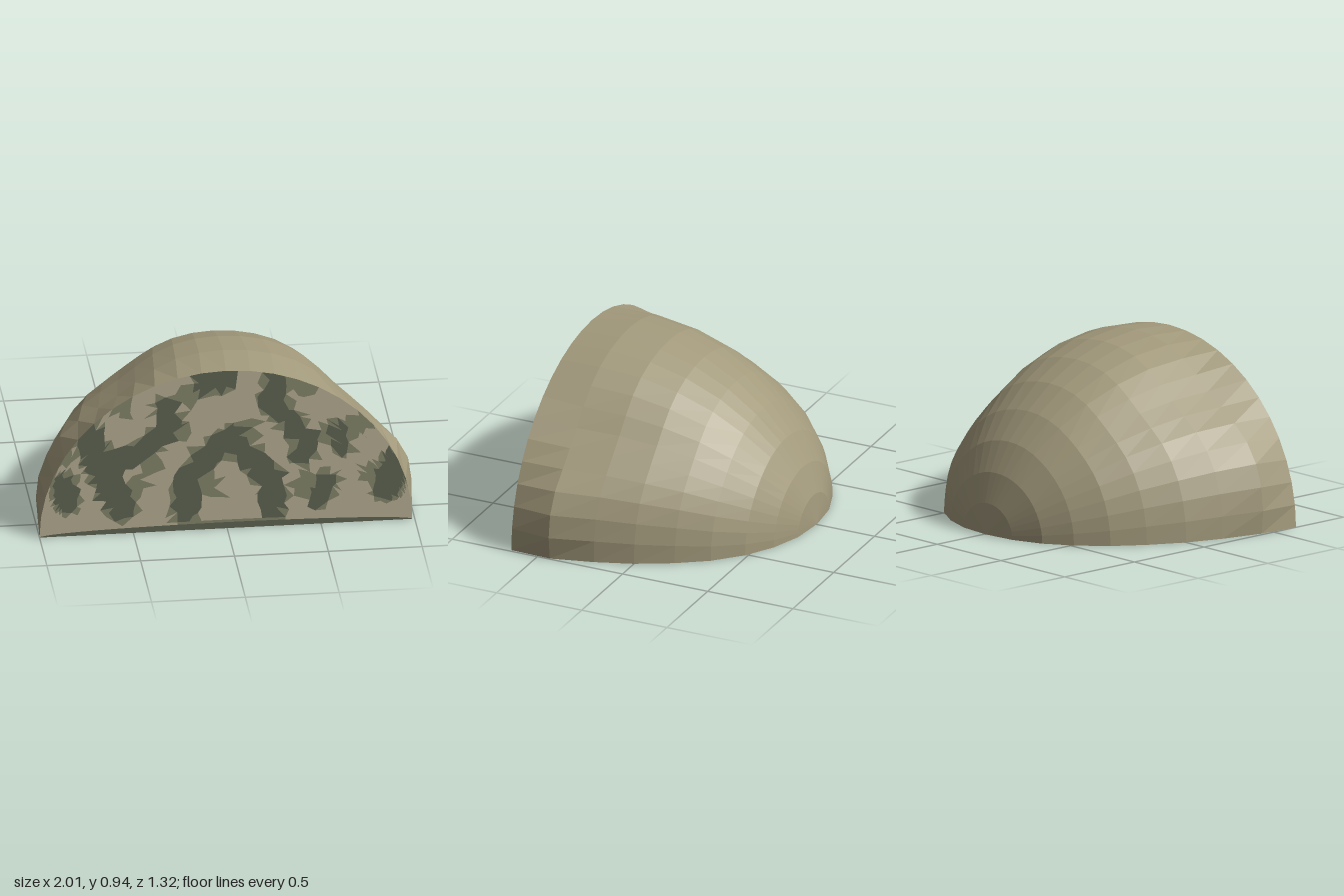
import * as THREE from 'three';

const SEG = 24;                       // facets over the half circle
const FRONT = 0.66, RIM_X = 0.993, RIM_Y = 0.927, RIM_CX = -0.007;

// dome cross-sections: [z, half width, height, low swelling, shoulder dent, centre x]
const RINGS = [
  [-0.66, 0, 0, 0, 0, -0.007], [-0.64, 0.19, 0.165, 0, 0, -0.005], [-0.58, 0.36, 0.32, 0, 0, -0.005],
  [-0.485, 0.51, 0.475, 0, 0.01, 0], [-0.35, 0.65, 0.62, 0, 0.02, 0], [-0.19, 0.76, 0.745, 0, 0.035, 0],
  [0, 0.86, 0.845, 0.005, 0.05, 0], [0.2, 0.93, 0.91, 0.012, 0.06, 0.002],
  [0.43, 0.988, 0.938, 0.035, 0.06, 0.005], [FRONT, RIM_X, RIM_Y, 0, 0, RIM_CX],
];

// camouflage strokes: [radius, x, y, x, y, ...]
const STROKES = [
  [0.075, -0.74, 0.58, -0.68, 0.42, -0.62, 0.27, -0.57, 0.16],
  [0.06, -0.66, 0.4, -0.45, 0.48, -0.3, 0.6, -0.33, 0.73],
  [0.065, -0.23, 0.12, -0.22, 0.26, -0.12, 0.42, 0.03, 0.54, 0.13, 0.4, 0.24, 0.25, 0.25, 0.13],
  [0.065, -0.11, 0.86, -0.03, 0.87],
  [0.06, 0.27, 0.86, 0.23, 0.75, 0.32, 0.63, 0.42, 0.5, 0.4, 0.42],
  [0.04, 0.6, 0.55, 0.62, 0.43],
  [0.075, 0.9, 0.34, 0.85, 0.2],
  [0.06, -0.87, 0.3, -0.85, 0.2],
  [0.05, 0.48, 0.14, 0.53, 0.25],
];
// lighter green patches: [x, y, radius]
const PATCHES = [
  [-0.2, 0.8, 0.07], [-0.55, 0.74, 0.06], [-0.48, 0.28, 0.06], [-0.4, 0.4, 0.07],
  [0.72, 0.58, 0.07], [0.53, 0.52, 0.06], [0.42, 0.82, 0.07], [0.42, 0.25, 0.07],
  [0.76, 0.28, 0.06], [-0.08, 0.25, 0.06], [-0.86, 0.46, 0.05], [0.12, 0.58, 0.06],
];

function material(color) {
  return new THREE.MeshStandardMaterial({ color, flatShading: true });
}

function geometryFrom(positions, index) {
  const g = new THREE.BufferGeometry();
  g.setAttribute('position', new THREE.Float32BufferAttribute(positions, 3));
  if (index) g.setIndex(index);
  g.computeVertexNormals();
  return g;
}

function makeDome() {
  const pos = [], index = [], row = SEG + 1;
  for (const [z, rx, ry, bulge, dent, cx] of RINGS) {
    for (let i = 0; i <= SEG; i++) {
      const t = (i / SEG) * Math.PI;
      // flanks swell low down and sag inwards at the shoulders
      const low = Math.min(t, Math.PI - t);
      const [end, shoulder] = t > Math.PI / 2 ? [0.72, 0.92] : [0.52, 0.76];
      const swell = low < end ? bulge * Math.sin((Math.PI * low) / end) : 0;
      const k = 1 + swell - dent * Math.exp(-(((low - shoulder) / 0.28) ** 2));
      pos.push(cx + rx * k * Math.cos(t), ry * k * Math.sin(t), z);
    }
  }
  for (let j = 0; j < RINGS.length - 1; j++) {
    for (let i = 0; i < SEG; i++) {
      const a = j * row + i, c = a + row;
      if (j > 0) index.push(a, a + 1, c);
      index.push(a + 1, c + 1, c);
    }
  }
  return geometryFrom(pos, index);
}

// flat underside following the dome's foot
function makeBase() {
  const side = (sign) => RINGS.map(([z, rx, , , , cx]) => new THREE.Vector2(cx + sign * rx, z));
  const outline = [...side(1), ...side(-1).slice(1).reverse()];
  return new THREE.ShapeGeometry(new THREE.Shape(outline)).rotateX(Math.PI / 2);
}

function strokeDistance(x, y) {
  let best = Infinity;
  for (const [r, ...p] of STROKES) {
    for (let i = 0; i + 3 < p.length; i += 2) {
      const dx = p[i + 2] - p[i], dy = p[i + 3] - p[i + 1];
      const t = THREE.MathUtils.clamp(((x - p[i]) * dx + (y - p[i + 1]) * dy) / (dx * dx + dy * dy), 0, 1);
      best = Math.min(best, Math.hypot(x - p[i] - t * dx, y - p[i + 1] - t * dy) - r);
    }
  }
  return best;
}

// 0 tan, 1 green, 2 dark
function camoTone(x, y) {
  const d = strokeDistance(x, y);
  if (d < 0) return 2;
  if (d < 0.022 || PATCHES.some(([px, py, r]) => Math.hypot(x - px, y - py) < r)) return 1;
  return 0;
}

// front panel as a mosaic of jittered triangles sorted by tone
function makeFrontPanels() {
  let seed = 7;
  const rnd = () => ((seed = (seed * 16807) % 2147483647) / 2147483647) - 0.5;
  const rim = (n) => [
    RIM_CX - RIM_X * Math.cos((n * Math.PI) / SEG),
    RIM_Y * Math.sin((n * Math.PI) / SEG),
  ];
  const cols = SEG * 2, rows = 18, grid = [];
  for (let i = 0; i <= cols; i++) {
    // points along the straight rim segments
    const s = Math.floor(i / 2), f = (i % 2) / 2;
    const [x0, y0] = rim(s), [x1, y1] = rim(s + 1);
    const x = x0 + (x1 - x0) * f, top = Math.max(0, y0 + (y1 - y0) * f);
    const sill = 0.055 * top, step = (top - sill) / rows;
    const column = [[x, 0], [x, sill * 0.7]];
    for (let j = 0; j <= rows; j++) {
      const inside = i > 1 && i < cols - 1 && j > 0 && j < rows;
      column.push([
        x + (inside ? rnd() * 0.4 * (x1 - x0) : 0),
        sill + step * (j + (inside ? rnd() * 0.7 : 0)),
      ]);
    }
    grid.push(column);
  }
  const tones = [[], [], []];
  const add = (a, b, c, tone) => {
    const cx = (a[0] + b[0] + c[0]) / 3, cy = (a[1] + b[1] + c[1]) / 3;
    for (const p of [a, b, c]) tones[tone ?? camoTone(cx, cy)].push(p[0], p[1], FRONT);
  };
  for (let i = 0; i < cols; i++) {
    // dark sill strip with a thin paler line above it
    const sillTones = [2, Math.abs(grid[i][0][0]) > 0.3 ? 0 : 1];
    for (let j = 0; j <= rows + 1; j++) {
      const a = grid[i][j], b = grid[i + 1][j], c = grid[i + 1][j + 1], d = grid[i][j + 1];
      const tone = sillTones[j];
      if ((i + j) % 2) { add(a, b, c, tone); add(a, c, d, tone); }
      else { add(a, b, d, tone); add(b, c, d, tone); }
    }
  }
  return tones.map((t) => geometryFrom(t));
}

export function createModel() {
  const model = new THREE.Group();
  model.name = 'shelter';
  const front = new THREE.Group();
  front.name = 'frontPanel';
  model.add(front);
  const add = (parent, name, geometry, color) => {
    const mesh = new THREE.Mesh(geometry, material(color));
    mesh.name = name;
    parent.add(mesh);
  };
  add(model, 'dome', makeDome(), 0xa39a7c);
  add(model, 'base', makeBase(), 0xa39a7c);

  const [tan, green, dark] = makeFrontPanels();
  add(front, 'tanPatches', tan, 0xbdb49a);
  add(front, 'greenPatches', green, 0x888b6f);
  add(front, 'darkPatches', dark, 0x626857);
  return model;
}
